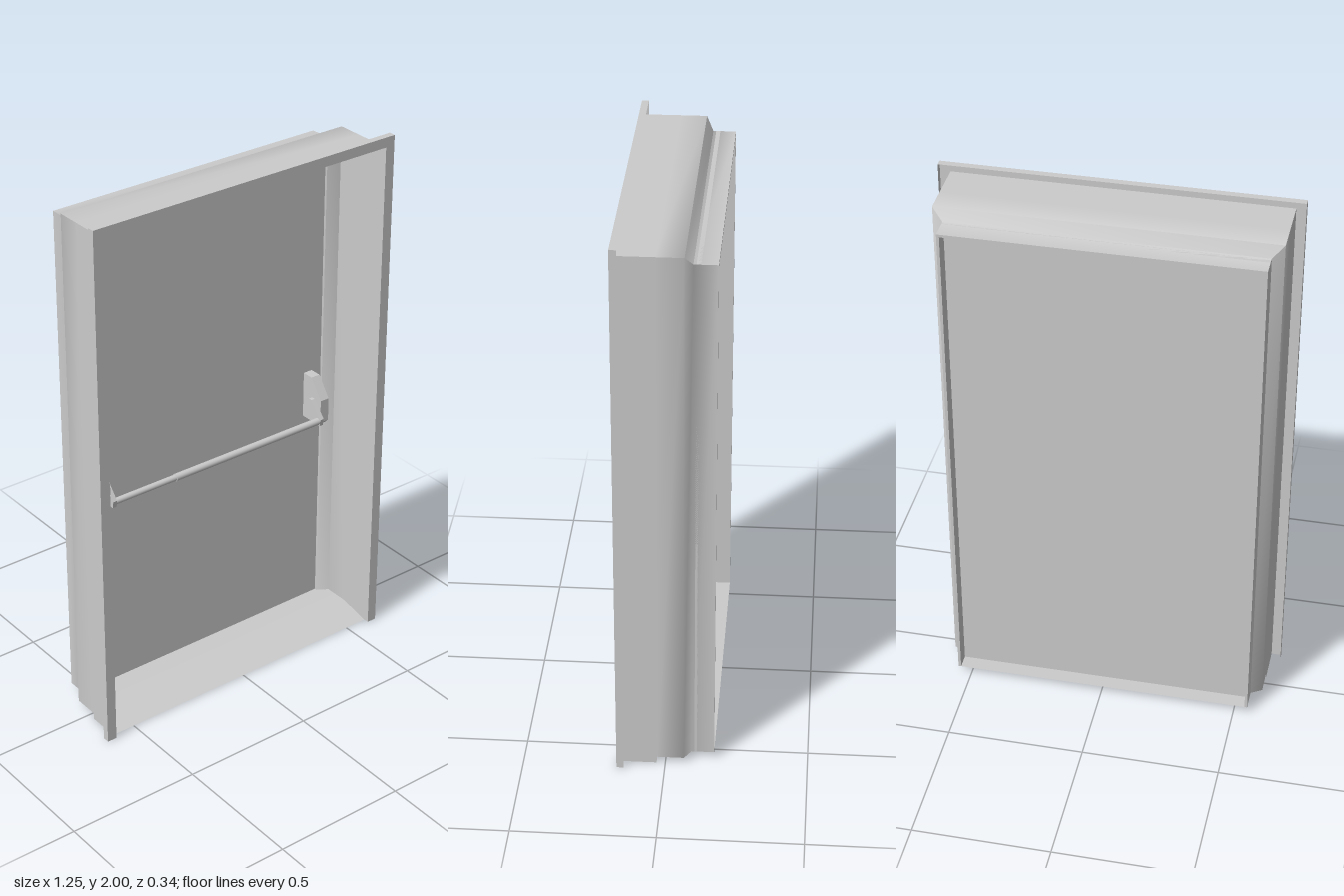
import * as THREE from 'three';
import { toCreasedNormals } from 'three/addons/utils/BufferGeometryUtils.js';

const grey = new THREE.MeshStandardMaterial({ color: 0xcccccc });
const sheet = new THREE.MeshStandardMaterial({ color: 0xcccccc, side: THREE.DoubleSide });

function add(parent, name, geometry, material = grey) {
  const mesh = new THREE.Mesh(geometry, material);
  mesh.name = name;
  parent.add(mesh);
  return mesh;
}

// Skin a thin sheet over rows of points
function loft(rows) {
  const pos = [];
  for (let i = 0; i < rows.length - 1; i++) {
    for (let j = 0; j < rows[i].length - 1; j++) {
      const a = rows[i][j], b = rows[i][j + 1], c = rows[i + 1][j + 1], d = rows[i + 1][j];
      pos.push(...a, ...b, ...c, ...a, ...c, ...d);
    }
  }
  const g = new THREE.BufferGeometry();
  g.setAttribute('position', new THREE.Float32BufferAttribute(pos, 3));
  return toCreasedNormals(g, 1.1);
}

// Extrude a [z, y] outline along x, from x0 to x1
function sideExtrude(outline, x0, x1) {
  const shape = new THREE.Shape(outline.map(([z, y]) => new THREE.Vector2(-z, y)));
  const g = new THREE.ExtrudeGeometry(shape, { depth: x1 - x0, bevelEnabled: false });
  return g.rotateY(Math.PI / 2).translate(x0, 0, 0);
}

export function createModel() {
  const model = new THREE.Group();
  model.name = 'exitDoor';
  const sillY = 0.025;

  // Pressed frame: [half width, z] profile mitred around both jambs and the head
  const profile = [
    [0.627, 0.145], [0.627, 0.17], [0.59, 0.17], [0.59, 0.031], [0.59, 0.029],
    [0.59, -0.065], [0.55, -0.09], [0.55, -0.17], [0.54, -0.17], [0.54, -0.11],
  ];
  const frameRows = profile.map(([x, z]) => {
    const foot = z > 0.03 ? 0 : sillY;
    const top = 2 - (0.627 - x);
    return [[x, foot, z], [x, top, z], [-x, top, z], [-x, foot, z]];
  });
  add(model, 'frame', loft(frameRows), sheet);

  // Threshold: a shallow ramp running into a flat sill
  const sill = [
    [0.59, 0, 0.15], [0.59, sillY, 0.03], [0.59, sillY, -0.065],
    [0.55, sillY, -0.09], [0.55, sillY, -0.17],
  ];
  add(model, 'threshold', loft(sill.map(([x, y, z]) => [[-x, y, z], [x, y, z]])), sheet);

  // Door leaf
  const leaf = add(model, 'doorLeaf', new THREE.BoxGeometry(1.1, 1.898, 0.015));
  leaf.position.set(0, 0.974, -0.1075);

  // Push bar with a bracket and a slanted arm at each end
  const pushBar = new THREE.Group();
  pushBar.name = 'pushBar';
  model.add(pushBar);
  const bracket = [[-0.1, 0.83], [-0.015, 0.83], [0, 0.845], [0, 0.935], [-0.055, 1.01], [-0.1, 1.01]];
  const arm = [[-0.05, 0.9], [0, 0.842], [0.014, 0.842], [0.018, 0.868], [-0.035, 0.93], [-0.05, 0.93]];
  for (const [side, s] of [['left', 1], ['right', -1]]) {
    const span = (a, b) => (s > 0 ? [a, b] : [-b, -a]);
    add(pushBar, side + 'Bracket', sideExtrude(bracket, ...span(0.471, 0.508)));
    add(pushBar, side + 'Arm', sideExtrude(arm, ...span(0.456, 0.472)));
  }

  // Two telescoping tubes
  for (const [name, r, x0, x1] of [['innerTube', 0.0115, -0.46, -0.19], ['outerTube', 0.0135, -0.195, 0.46]]) {
    const tube = add(pushBar, name, new THREE.CylinderGeometry(r, r, x1 - x0, 24));
    tube.rotation.z = Math.PI / 2;
    tube.position.set((x0 + x1) / 2, 0.857, 0.002);
  }

  return model;
}
